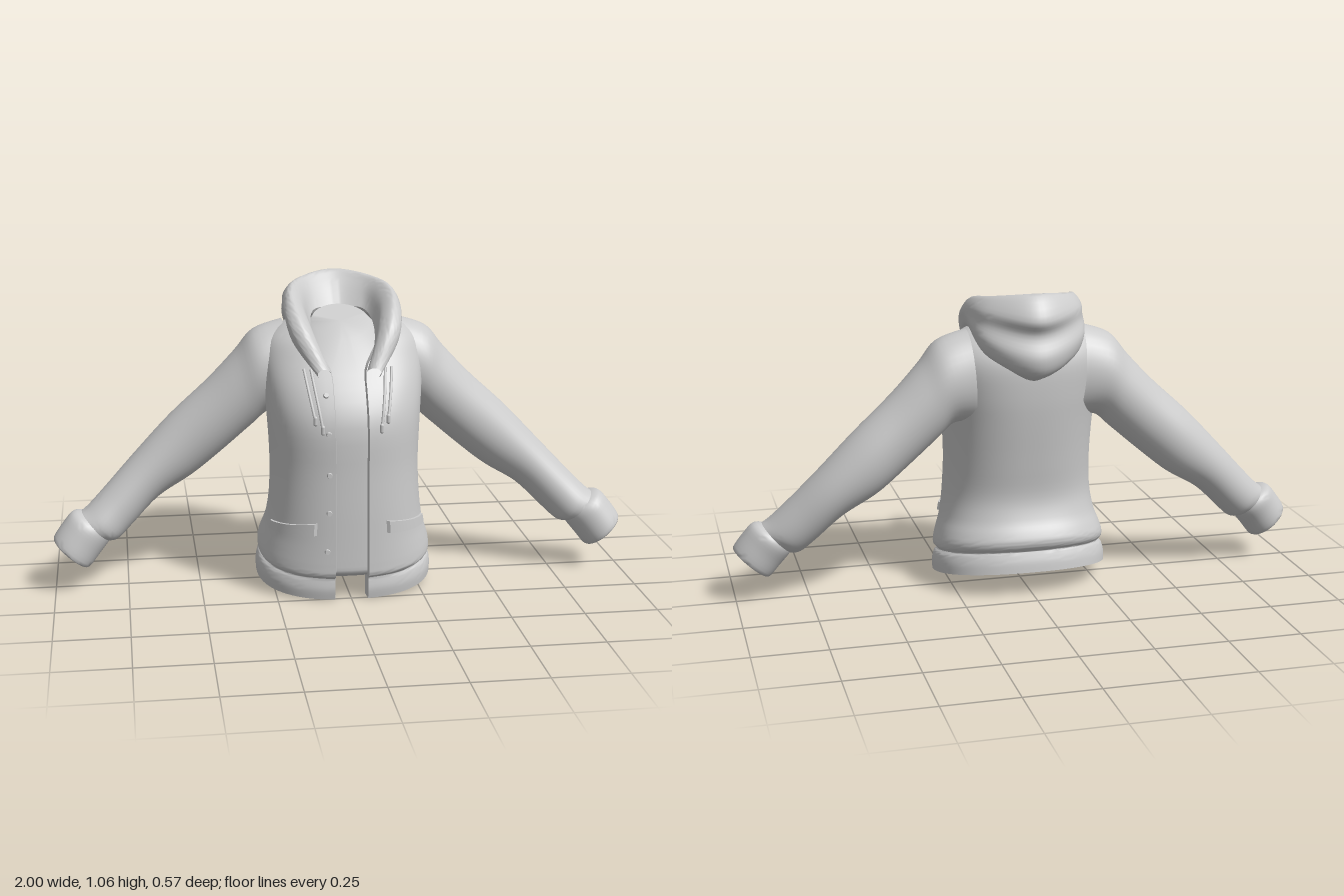
import * as THREE from 'three';
import { toCreasedNormals } from 'three/addons/utils/BufferGeometryUtils.js';

const material = new THREE.MeshStandardMaterial({ color: 0xcccccc, side: THREE.DoubleSide });
const V = (x, y, z) => new THREE.Vector3(x, y, z);
const TAU = Math.PI * 2;

function mesh(name, geometry) {
  const m = new THREE.Mesh(geometry, material);
  m.name = name;
  return m;
}

// Skin a list of equally long rows of points
function loft(rows, closed = false, crease = 0.9) {
  const n = rows[0].length, index = [];
  for (let r = 0; r < rows.length - 1; r++) {
    for (let c = 0; c < (closed ? n : n - 1); c++) {
      const d = (c + 1) % n;
      const a = r * n + c, b = r * n + d, e = a + n, f = b + n;
      index.push(a, b, f, a, f, e);
    }
  }
  const g = new THREE.BufferGeometry().setFromPoints(rows.flat());
  g.setIndex(index);
  return toCreasedNormals(g, crease);
}

// Smooth interpolation through rows of numbers; t counts rows
function sample(keys, t) {
  const i = Math.min(Math.floor(t), keys.length - 2), f = t - i;
  const at = (k) => keys[Math.max(0, Math.min(keys.length - 1, k))];
  return keys[i].map((p1, c) => {
    const p0 = at(i - 1)[c], p2 = at(i + 1)[c], p3 = at(i + 2)[c];
    return p1 + 0.5 * f * (p2 - p0 + f * (2 * p0 - 5 * p1 + 4 * p2 - p3 + f * (3 * (p1 - p2) + p3 - p0)));
  });
}

// Torso profile: height, half width, front z, back z
const TORSO = [
  [0.05, 0.305, 0.26, -0.21], [0.085, 0.305, 0.265, -0.205], [0.115, 0.297, 0.262, -0.195],
  [0.125, 0.286, 0.262, -0.192], [0.14, 0.298, 0.28, -0.205], [0.165, 0.298, 0.282, -0.21],
  [0.2, 0.288, 0.282, -0.198], [0.25, 0.272, 0.282, -0.175], [0.33, 0.26, 0.282, -0.158],
  [0.45, 0.255, 0.28, -0.17], [0.6, 0.262, 0.278, -0.19], [0.7, 0.272, 0.238, -0.2],
  [0.8, 0.278, 0.165, -0.2], [0.86, 0.262, 0.125, -0.18], [0.9, 0.22, 0.09, -0.145],
  [0.925, 0.17, 0.07, -0.1],
];
const POWER = 0.87;
const bend = (v) => Math.sign(v) * Math.abs(v) ** POWER;

// Point on the torso: angle 0 is the front; the hem dips towards the front
function body(t, angle, inset = 0) {
  const [y, w, zf, zb] = sample(TORSO, t);
  const x = (w - inset) * bend(Math.sin(angle));
  const z = (zf + zb) / 2 + ((zf - zb) / 2 - inset) * bend(Math.cos(angle));
  const tilt = 0.19 * THREE.MathUtils.clamp((0.45 - y) / 0.33, 0, 1);
  return V(x, y - tilt * z, z);
}

// Profile position at which the torso reaches height y for an angle
function heightToT(y, angle) {
  let t = 0;
  while (t < TORSO.length - 1.02 && body(t, angle).y < y) t += 0.02;
  return t;
}

function torso() {
  const ring = (t, inset) => {
    const [y, w] = sample(TORSO, t);
    const gap = 0.057 + 0.075 * THREE.MathUtils.smoothstep(y, 0.76, 0.91);
    const a0 = Math.asin((gap / w) ** (1 / POWER));
    const row = [body(t, a0, inset + 0.018)];
    for (let i = 0; i <= 72; i++) row.push(body(t, a0 + (TAU - 2 * a0) * i / 72, inset));
    row.push(body(t, TAU - a0, inset + 0.018));
    return row;
  };
  const rows = [ring(3, 0.015), ring(0, 0.015)];
  for (let t = 0; t <= 15; t += 0.25) rows.push(ring(t, 0));
  return mesh('jacketBody', loft(rows));
}

// Closed inner layer seen in the front opening, hem and neck
function lining() {
  const N = 64, rows = [];
  const ring = (f) => Array.from({ length: N }, (_, i) => f(i / N * TAU));
  rows.push(ring(() => V(0, 0.115, 0.035)));
  for (let t = 2.8; t <= 12; t += 0.4) rows.push(ring((a) => body(t, a, 0.022)));
  const neck = (r) => ring((a) => {
    const z = -0.01 + r * Math.cos(a);
    return V(r * Math.sin(a), 0.91 - 0.4 * z, z);
  });
  rows.push(neck(0.1), neck(0));
  return mesh('lining', loft(rows, true));
}

// Tube sections: upper x, y, lower x, y, centre z, half depth
function sleeveTube(name, keys, steps) {
  const rows = [];
  for (let k = 0; k <= (keys.length - 1) * steps; k++) {
    const [ux, uy, lx, ly, z, h] = sample(keys, k / steps);
    rows.push(Array.from({ length: 36 }, (_, i) => {
      const c = Math.cos(i / 36 * TAU), s = Math.sin(i / 36 * TAU);
      return V((ux + lx) / 2 + c * (ux - lx) / 2, (uy + ly) / 2 + c * (uy - ly) / 2, z + s * h);
    }));
  }
  return mesh(name, loft(rows, true, 1.2));
}

function arm(name) {
  const g = new THREE.Group();
  g.name = name;
  g.add(sleeveTube('sleeve', [
    [0.2, 0.92, 0.18, 0.6, -0.05, 0.12], [0.3, 0.885, 0.25, 0.6, -0.05, 0.125],
    [0.365, 0.81, 0.31, 0.55, -0.055, 0.117], [0.46, 0.71, 0.42, 0.455, -0.06, 0.108],
    [0.59, 0.59, 0.52, 0.375, -0.065, 0.103], [0.71, 0.465, 0.635, 0.305, -0.055, 0.096],
    [0.81, 0.36, 0.725, 0.22, -0.03, 0.09], [0.875, 0.295, 0.775, 0.175, -0.01, 0.088],
    [0.905, 0.272, 0.805, 0.168, 0, 0.078],
  ], 5));
  g.add(sleeveTube('cuff', [
    [0.885, 0.27, 0.8, 0.185, 0, 0.07], [0.93, 0.275, 0.815, 0.162, 0.002, 0.083],
    [0.965, 0.24, 0.845, 0.125, 0.01, 0.083], [1.0, 0.19, 0.88, 0.083, 0.018, 0.082],
    [0.985, 0.187, 0.888, 0.098, 0.018, 0.068], [0.93, 0.245, 0.835, 0.16, 0.005, 0.064],
    [0.88, 0.265, 0.81, 0.195, 0, 0.06],
  ], 4));
  return g;
}

// Hood: guide lines from front end to back middle, seam first, inside last
function hood() {
  const guides = [
    [[0.1, 0.76, 0.2], [0.165, 0.85, 0.1], [0.17, 0.9, 0], [0.13, 0.84, -0.14], [0, 0.76, -0.195]],
    [[0.105, 0.767, 0.206], [0.18, 0.87, 0.11], [0.19, 0.93, -0.01], [0.155, 0.85, -0.18], [0, 0.795, -0.27]],
    [[0.107, 0.776, 0.208], [0.185, 0.89, 0.115], [0.197, 0.955, -0.01], [0.17, 0.905, -0.19], [0, 0.85, -0.288]],
    [[0.105, 0.782, 0.208], [0.185, 0.905, 0.118], [0.2, 0.972, -0.01], [0.163, 0.955, -0.175], [0, 0.925, -0.262]],
    [[0.098, 0.788, 0.207], [0.178, 0.918, 0.122], [0.198, 0.99, -0.01], [0.16, 1.0, -0.17], [0, 0.975, -0.283]],
    [[0.085, 0.792, 0.205], [0.15, 0.93, 0.125], [0.175, 1.018, -0.01], [0.125, 1.045, -0.145], [0, 1.06, -0.22]],
    [[0.066, 0.785, 0.196], [0.115, 0.91, 0.11], [0.137, 0.995, -0.02], [0.1, 1.02, -0.13], [0, 1.035, -0.185]],
    [[0.06, 0.77, 0.18], [0.1, 0.86, 0.1], [0.105, 0.92, -0.01], [0.08, 0.945, -0.075], [0, 0.945, -0.11]],
  ].map((half) => new THREE.CatmullRomCurve3([
    ...half.map(([x, y, z]) => V(x, y, z)),
    ...half.slice(0, 4).reverse().map(([x, y, z]) => V(-x, y, z)),
  ]));
  const rows = Array.from({ length: 36 }, () => []);
  for (let i = 0; i <= 80; i++) {
    const section = new THREE.CatmullRomCurve3(guides.map((g) => g.getPoint(i / 80)));
    rows.forEach((row, r) => row.push(section.getPoint(r / 35)));
  }
  return mesh('hood', loft(rows, false, 1.3));
}

// Slanted pocket welt lying on the torso
function pocket(name) {
  const rows = [];
  for (let i = 0; i <= 20; i++) {
    const f = i / 20, a = 0.39 + 0.92 * f;
    const top = 7.7 - 0.4 * f, low = 7.22 - 0.3 * f;
    const lift = i === 0 || i === 20 ? 0.004 : -0.008;
    rows.push([body(top, a, 0.006), body(top, a, lift), body(low, a, lift), body(low, a, 0.006)]);
  }
  return mesh(name, loft(rows, true, 0.6));
}

// Hanging cord with a small end piece
function drawstring(name, angle, endY) {
  const g = new THREE.Group();
  g.name = name;
  const points = [0, 0.35, 0.7, 1].map((f) => {
    const a = angle - 0.08 * f;
    return body(heightToT(0.785 + (endY - 0.785) * f, a), a, -0.007);
  });
  g.add(mesh('cord', new THREE.TubeGeometry(new THREE.CatmullRomCurve3(points), 24, 0.005, 8)));
  const tip = mesh('cordEnd', new THREE.CapsuleGeometry(0.007, 0.02, 4, 10));
  tip.position.copy(points[3]);
  g.add(tip);
  return g;
}

export function createModel() {
  const model = new THREE.Group();
  model.name = 'hoodedJacket';
  model.add(torso(), lining(), hood());

  for (const [side, s] of [['left', 1], ['right', -1]]) {
    const parts = [
      arm(side + 'Arm'), pocket(side + 'Pocket'),
      drawstring(side + 'LongDrawstring', 0.4, 0.6), drawstring(side + 'ShortDrawstring', 0.49, 0.63),
    ];
    for (const p of parts) {
      p.scale.x = s;
      model.add(p);
    }
  }

  // Buttons down the right front edge
  for (const y of [0.71, 0.585, 0.445, 0.315, 0.18]) {
    const b = mesh('button', new THREE.CylinderGeometry(0.008, 0.01, 0.01, 16));
    b.position.copy(body(heightToT(y, -0.25), -0.25, -0.003));
    b.rotation.x = Math.PI / 2 - (y > 0.6 ? 0.5 : 0);
    model.add(b);
  }
  return model;
}
